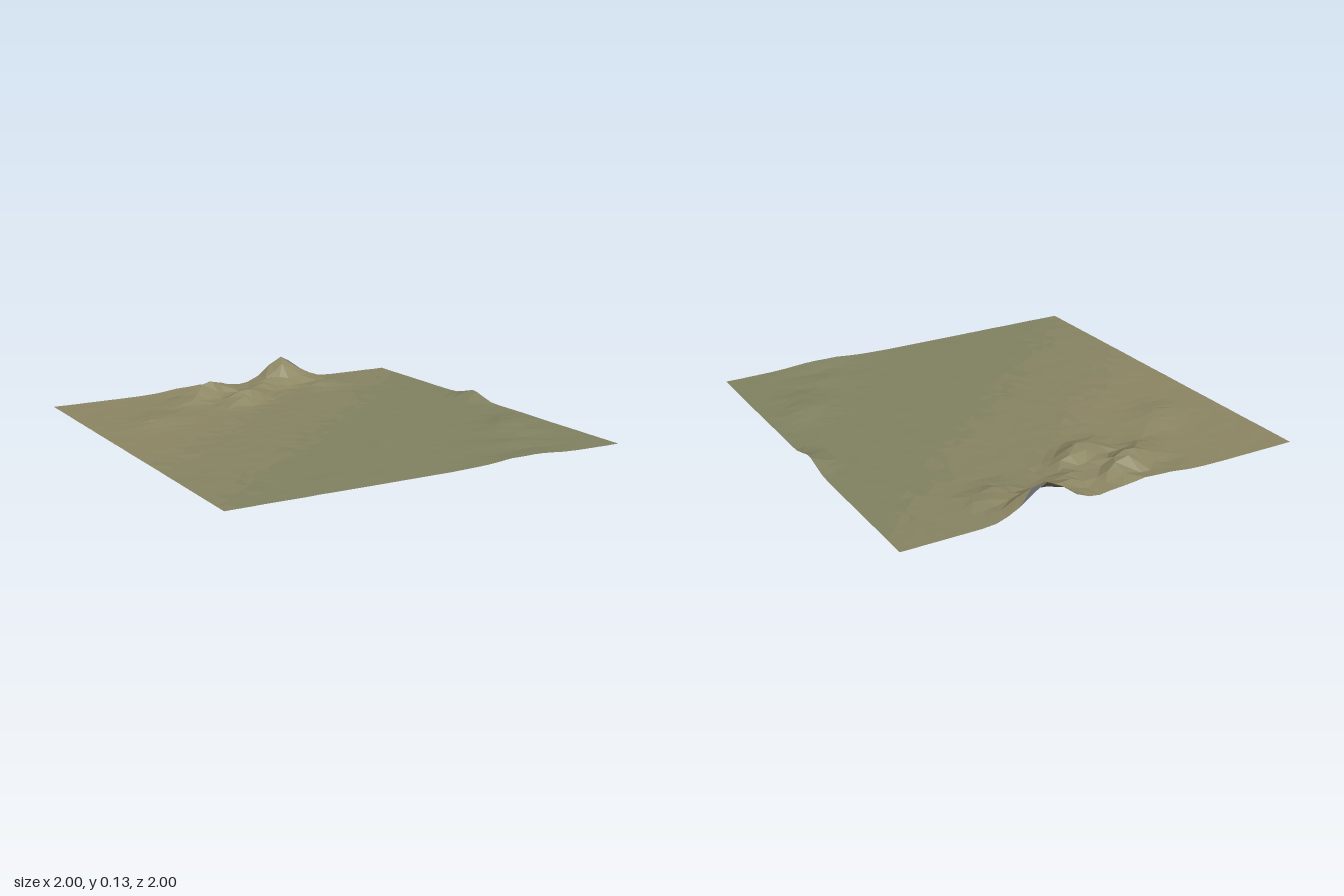
import * as THREE from 'three';

const N = 32; // cells per side

// Hills: x, z, height, long radius, short radius, direction of the long axis
const HILLS = [
  [0.32, -1.0, 0.125, 0.13, 0.12, 0],        // main peak on the back edge
  [0.43, -0.97, 0.045, 0.09, 0.1, 0],        // its shoulder
  [0.14, -0.86, 0.042, 0.16, 0.07, -0.6],    // saddle
  [-0.2, -0.83, 0.078, 0.17, 0.08, -0.45],   // left ridge
  [-0.2, -1.0, 0.025, 0.2, 0.1, 0],
  [-0.07, -0.645, 0.07, 0.14, 0.075, -0.5],  // front ridge
  [-0.35, -0.7, 0.02, 0.1, 0.06, 0],
  [0.47, -0.78, 0.03, 0.12, 0.07, -0.6],     // right spur
  [-0.64, -0.46, 0.02, 0.15, 0.1, -0.6],     // low rise on the left
  [1.0, -0.1, 0.036, 0.1, 0.07, Math.PI / 2],
  [0.78, 0.46, 0.022, 0.16, 0.09, -0.8],
  [0.76, 0.6, 0.014, 0.1, 0.07, 0],
  [0.48, 1.0, 0.018, 0.2, 0.1, 0],
  [0.55, 0.75, 0.01, 0.15, 0.1, 0],
];

// Seeded value in 0..1 for a grid point
function hash(i, j) {
  const s = Math.sin(i * 127.1 + j * 311.7 + 4.2) * 43758.5453;
  return s - Math.floor(s);
}

function heightAt(x, z) {
  let y = 0;
  for (const [hx, hz, h, a, b, t] of HILLS) {
    const dx = x - hx, dz = z - hz;
    const u = (dx * Math.cos(t) + dz * Math.sin(t)) / a;
    const v = (dz * Math.cos(t) - dx * Math.sin(t)) / b;
    const g = h * Math.exp(-(u * u + v * v));
    y = Math.max(y, g) + 0.25 * Math.min(y, g); // soft union of the hills
  }
  return y;
}

// Uneven grid point, kept square along the border
function point(i, j) {
  const cell = 2 / N;
  const inner = (k) => (k > 0 && k < N ? 1 : 0);
  const x = -1 + cell * (i + inner(i) * 0.5 * (hash(i, j) - 0.5));
  const z = -1 + cell * (j + inner(j) * 0.5 * (hash(j + 50, i) - 0.5));
  const h = heightAt(x, z);
  const rough = (hash(i + 90, j + 30) - 0.5) * (0.002 + 0.12 * Math.min(h, 0.08));
  return new THREE.Vector3(x, Math.max(0, h + rough), z);
}

export function createModel() {
  const terrain = new THREE.Group();
  terrain.name = 'terrain';
  const patches = {
    dryGround: { color: 0x8d8764, verts: [] },
    paleGrass: { color: 0x888564, verts: [] },
    grass: { color: 0x828262, verts: [] },
    rock: { color: 0x74777a, verts: [] },
  };

  // Choose the ground cover of each facet
  const cover = (c, n) => {
    if (c.y > 0.075 && c.x > 0.25 && n.x > 0.25) return 'rock';
    const dry = -0.5 * c.x - 0.55 * c.z + 4 * c.y + 0.12 * (hash(c.x * 9, c.z * 9) - 0.5);
    return dry > 0.3 ? 'dryGround' : dry > -0.02 ? 'paleGrass' : 'grass';
  };

  const addFacet = (a, b, c) => {
    const tri = new THREE.Triangle(a, b, c);
    const kind = cover(tri.getMidpoint(new THREE.Vector3()), tri.getNormal(new THREE.Vector3()));
    for (const p of [a, b, c]) patches[kind].verts.push(p.x, p.y, p.z);
  };

  // Two facets per cell, with varied diagonals
  for (let i = 0; i < N; i++) {
    for (let j = 0; j < N; j++) {
      const a = point(i, j), b = point(i, j + 1), c = point(i + 1, j + 1), d = point(i + 1, j);
      if (hash(i + 7, j + 13) > 0.5) {
        addFacet(a, b, c);
        addFacet(a, c, d);
      } else {
        addFacet(a, b, d);
        addFacet(b, c, d);
      }
    }
  }

  // One open sheet per ground cover
  for (const [name, { color, verts }] of Object.entries(patches)) {
    if (!verts.length) continue;
    const geometry = new THREE.BufferGeometry();
    geometry.setAttribute('position', new THREE.Float32BufferAttribute(verts, 3));
    geometry.computeVertexNormals();
    const material = new THREE.MeshStandardMaterial({ color, flatShading: true, side: THREE.DoubleSide });
    const mesh = new THREE.Mesh(geometry, material);
    mesh.name = name;
    terrain.add(mesh);
  }
  return terrain;
}
